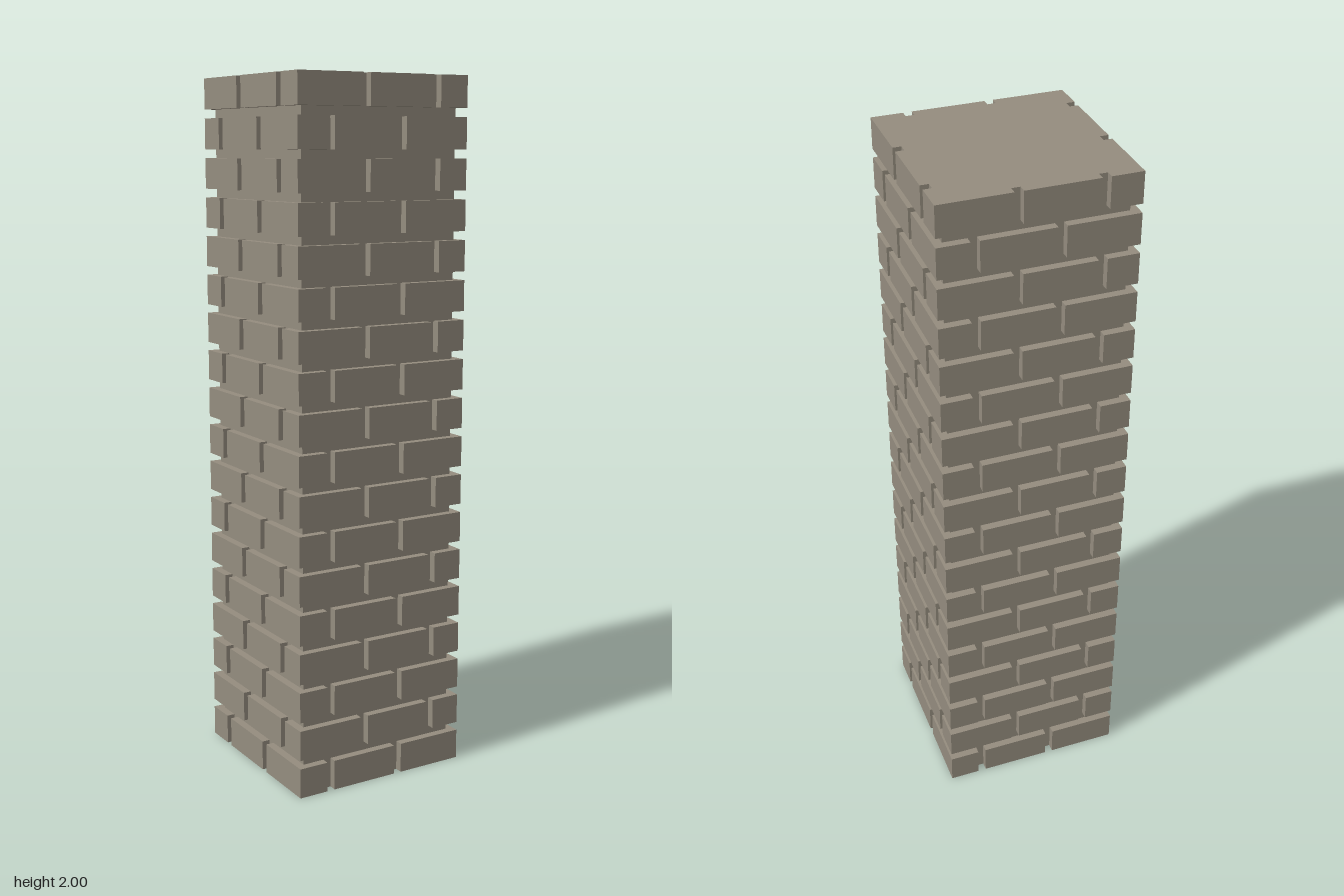
import * as THREE from 'three';

const HALF = 0.27;        // outer half width of the bricks
const CORE = 0.2465;      // half width at the bottom of the joints
const COURSES = 18;
const BRICK_H = 0.0875;
const PITCH = (2 - BRICK_H) / (COURSES - 1);
const JOINT = 0.012;      // half width of an upright joint

// Square outline with two notches per side, repeated by quarter turns
function courseGeometry(joints) {
  const points = [];
  for (let side = 0; side < 4; side++) {
    const edge = [[-HALF, -HALF]];
    for (const x of joints) {
      edge.push([x - JOINT, -HALF], [x - JOINT, -CORE], [x + JOINT, -CORE], [x + JOINT, -HALF]);
    }
    const turn = side * Math.PI / 2;
    for (const [x, y] of edge) {
      points.push(new THREE.Vector2(x, y).rotateAround(new THREE.Vector2(), turn));
    }
  }
  const geometry = new THREE.ExtrudeGeometry(new THREE.Shape(points), { depth: BRICK_H, bevelEnabled: false });
  return geometry.rotateX(-Math.PI / 2);
}

export function createModel() {
  const pillar = new THREE.Group();
  pillar.name = 'brickPillar';
  const stone = new THREE.MeshStandardMaterial({ color: 0x958d7f });
  stone.name = 'greyBrownStone';

  // Two alternating courses with mirrored joints
  const courses = [courseGeometry([-0.1695, 0.0575]), courseGeometry([-0.0575, 0.1695])];
  const bedHeight = PITCH - BRICK_H;
  const bed = new THREE.BoxGeometry(CORE * 2, bedHeight, CORE * 2);

  for (let i = 0; i < COURSES; i++) {
    const course = new THREE.Mesh(courses[i % 2], stone);
    course.name = 'brickCourse';
    course.position.y = i * PITCH;
    pillar.add(course);

    // Recessed mortar bed between this course and the next
    if (i < COURSES - 1) {
      const mortar = new THREE.Mesh(bed, stone);
      mortar.name = 'mortarBed';
      mortar.position.y = i * PITCH + BRICK_H + bedHeight / 2;
      pillar.add(mortar);
    }
  }
  return pillar;
}
